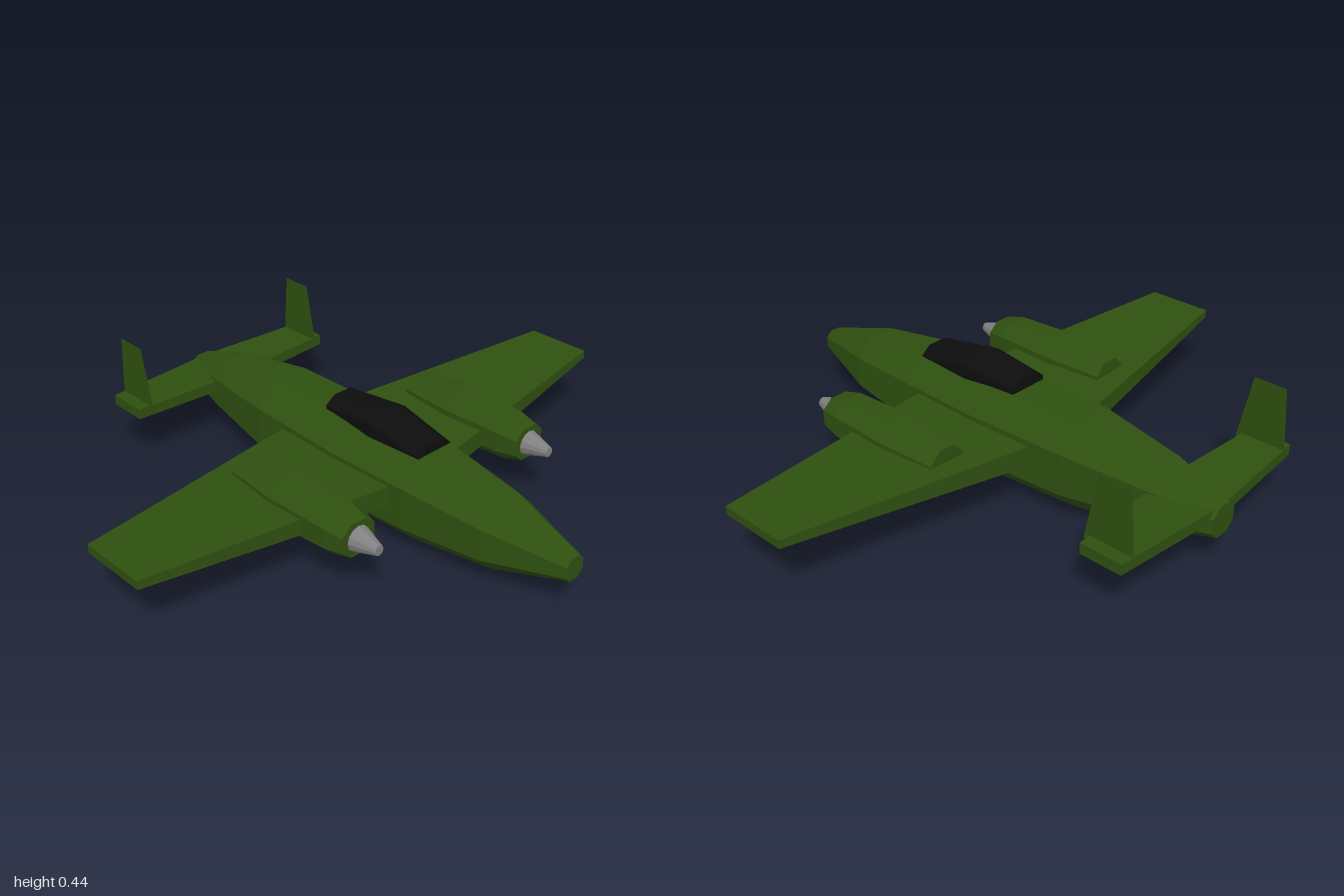
import * as THREE from 'three';

const green = new THREE.MeshStandardMaterial({ color: 0x2f5010 });
green.name = 'olive green';
green.flatShading = true;
const black = new THREE.MeshStandardMaterial({ color: 0x0d0d0d });
black.name = 'canopy black';
black.flatShading = true;
const grey = new THREE.MeshStandardMaterial({ color: 0x808080 });
grey.name = 'spinner grey';
grey.flatShading = true;
const greenSheet = new THREE.MeshStandardMaterial({ color: 0x2f5010, side: THREE.DoubleSide });
greenSheet.name = 'olive green sheet';

function part(name, geometry, material) {
  const mesh = new THREE.Mesh(geometry, material);
  mesh.name = name;
  return mesh;
}

// Octagonal body along z. Sections run front to back: [z, halfWidth, yBottom, yTop]
function loftOctagon(sections, flat) {
  const outline = [[1, -flat], [1, flat], [flat, 1], [-flat, 1], [-1, flat], [-1, -flat], [-flat, -1], [flat, -1]];
  const rings = sections.map(([z, w, y0, y1]) =>
    outline.map(([u, v]) => [u * w, (y0 + y1) / 2 + v * (y1 - y0) / 2, z]));
  const pos = [];
  const tri = (...pts) => pts.forEach((p) => pos.push(...p));
  for (let r = 0; r < rings.length - 1; r++) {
    const a = rings[r], b = rings[r + 1];
    for (let i = 0; i < 8; i++) {
      const j = (i + 1) % 8;
      tri(a[i], b[i], b[j]);
      tri(a[i], b[j], a[j]);
    }
  }
  // end caps
  const first = rings[0], last = rings[rings.length - 1];
  for (let i = 1; i < 7; i++) {
    tri(first[0], first[i], first[i + 1]);
    tri(last[0], last[i + 1], last[i]);
  }
  const g = new THREE.BufferGeometry();
  g.setAttribute('position', new THREE.Float32BufferAttribute(pos, 3));
  g.computeVertexNormals();
  return g;
}

// Full-span tapered surface; mid and tip are [zRear, zFront, yBottom, yTop]
function taperedSpan(halfSpan, mid, tip) {
  const g = new THREE.BoxGeometry(2, 1, 1, 2, 1, 1).toNonIndexed();
  const p = g.attributes.position;
  for (let i = 0; i < p.count; i++) {
    const x = p.getX(i);
    const s = Math.abs(x) > 0.5 ? tip : mid;
    p.setXYZ(i, x * halfSpan, p.getY(i) < 0 ? s[2] : s[3], p.getZ(i) < 0 ? s[0] : s[1]);
  }
  g.computeVertexNormals();
  return g;
}

export function createModel() {
  const plane = new THREE.Group();
  plane.name = 'twinEngineAircraft';

  plane.add(part('fuselage', loftOctagon([
    [0.868, 0.038, 0.13, 0.208],
    [0.6, 0.112, 0.053, 0.282],
    [0.31, 0.145, 0.018, 0.322],
    [0, 0.155, 0.005, 0.33],
    [-0.37, 0.145, 0.028, 0.33],
    [-0.67, 0.1, 0.08, 0.29],
    [-0.868, 0.053, 0.13, 0.233],
  ], 0.48), green));

  plane.add(part('canopy', loftOctagon([
    [0.312, 0.072, 0.24, 0.35],
    [0.1, 0.083, 0.29, 0.388],
    [-0.105, 0.072, 0.27, 0.37],
  ], 0.5), black));

  plane.add(part('wing', taperedSpan(1, [-0.265, 0.275, 0.145, 0.225], [-0.1, 0.14, 0.226, 0.255]), green));
  plane.add(part('tailplane', taperedSpan(0.42, [-0.86, -0.655, 0.188, 0.228], [-0.825, -0.68, 0.193, 0.23]), green));

  // Thin upright fin outline, drawn in (-z, y)
  const fin = new THREE.ShapeGeometry(new THREE.Shape([
    new THREE.Vector2(0.655, 0.21), new THREE.Vector2(0.833, 0.21),
    new THREE.Vector2(0.814, 0.44), new THREE.Vector2(0.7, 0.44),
  ]));
  fin.rotateY(Math.PI / 2);

  const nacelle = loftOctagon([
    [0.375, 0.066, 0.16, 0.276],
    [0.305, 0.077, 0.14, 0.295],
    [0.08, 0.088, 0.126, 0.304],
    [-0.128, 0.066, 0.147, 0.285],
  ], 0.45);
  const spinner = new THREE.CylinderGeometry(0.017, 0.045, 0.09, 12);
  spinner.rotateX(Math.PI / 2);
  spinner.translate(0, 0.216, 0.416);

  // Mirrored engines and fins
  for (const [side, s] of [['left', 1], ['right', -1]]) {
    const engine = new THREE.Group();
    engine.name = side + 'Engine';
    engine.position.x = s * 0.389;
    engine.add(part('nacelle', nacelle, green), part('spinner', spinner, grey));
    const tailFin = part(side + 'Fin', fin, greenSheet);
    tailFin.position.x = s * 0.375;
    plane.add(engine, tailFin);
  }
  return plane;
}
